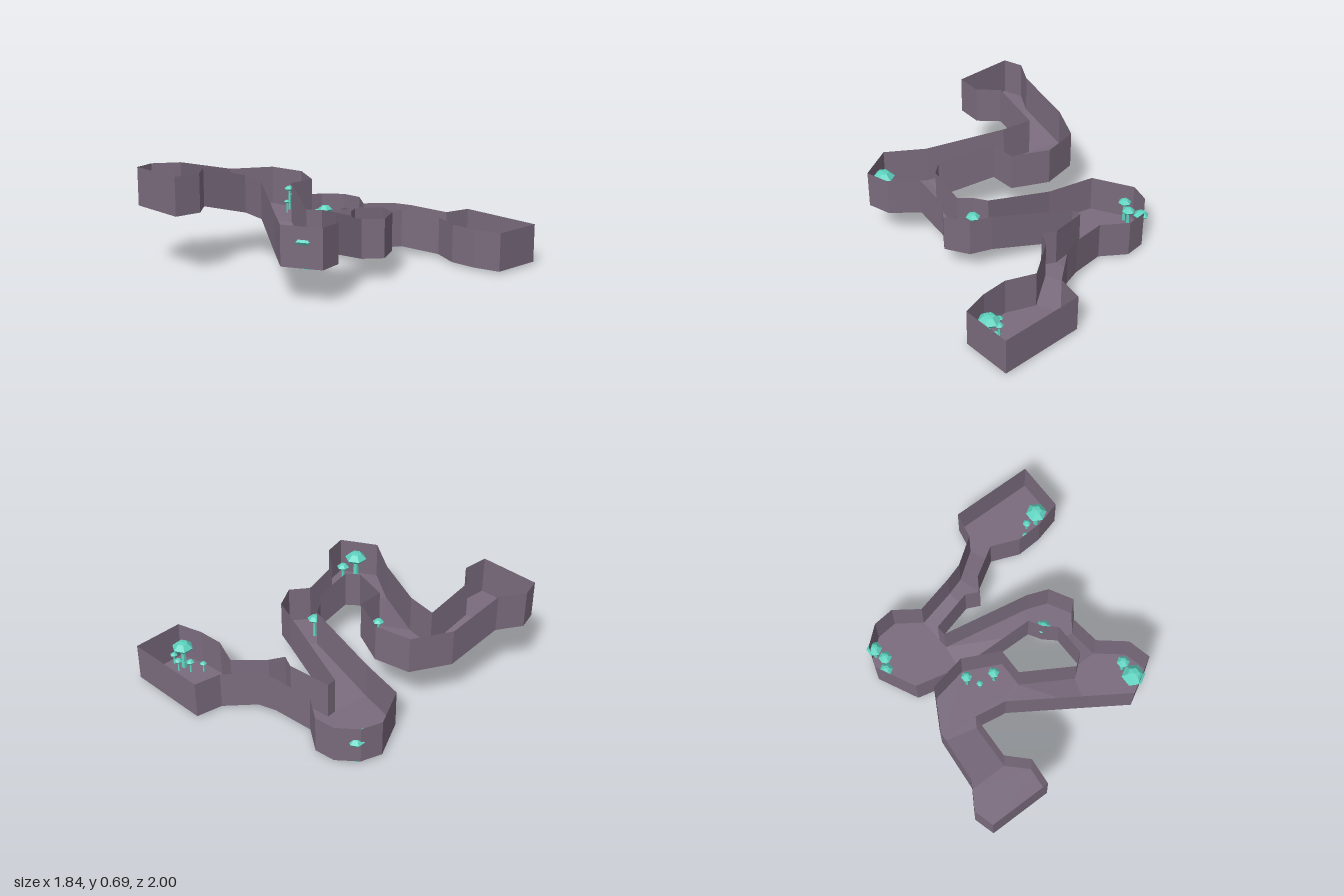
import * as THREE from 'three';

const WALL = 0.265;

// Chambers: floor height, outline [x, z] (clockwise from above), indices of edges left open as doors
const ROOMS = {
  entry: { y: 0.42, doors: [2], pts: [[-0.88, 1], [-0.92, 0.86], [-0.815, 0.69], [-0.56, 0.69], [-0.435, 0.815], [-0.45, 1]] },
  upper: { y: 0.325, doors: [4, 6], pts: [[-0.775, 0.295], [-0.63, 0.03], [-0.375, -0.02], [-0.13, 0.1], [-0.13, 0.285], [-0.32, 0.39], [-0.535, 0.355]] },
  front: { y: 0.235, doors: [0, 2], pts: [[0.155, 0.67], [0.22, 0.46], [0.3, 0.395], [0.435, 0.395], [0.605, 0.535], [0.645, 0.7], [0.405, 0.835]] },
  middle: { y: 0.16, doors: [0, 4], pts: [[0.18, -0.01], [0.285, -0.165], [0.43, -0.11], [0.52, 0.05], [0.43, 0.17], [0.315, 0.15], [0.235, 0.08]] },
  lower: { y: 0.015, doors: [5, 7], pts: [[-0.68, -0.14], [-0.82, -0.42], [-0.77, -0.565], [-0.64, -0.675], [-0.49, -0.69], [-0.32, -0.57], [-0.31, -0.395], [-0.305, -0.325], [-0.34, -0.06]] },
  bend: { y: 0.055, doors: [0, 2], pts: [[-0.025, -0.46], [-0.05, -0.625], [0.075, -0.665], [0.125, -0.515], [0.07, -0.415]] },
  end: { y: 0.015, doors: [0], pts: [[0.345, -0.66], [0.275, -0.815], [0.31, -1], [0.915, -1], [0.915, -0.64], [0.73, -0.59], [0.545, -0.58]] },
};

// Sloping passages: room, door edge, room, door edge
const PASSAGES = [
  ['entry', 2, 'upper', 6], ['upper', 4, 'front', 0], ['front', 2, 'middle', 4],
  ['middle', 0, 'lower', 7], ['lower', 5, 'bend', 0], ['bend', 2, 'end', 0],
];

// Mushrooms: room, then [x, z, cap radius, height above floor]
const MUSHROOMS = {
  upper: [[-0.4, 0.07, 0.037, 0.17], [-0.345, 0.14, 0.022, 0.09], [-0.24, 0.155, 0.038, 0.17]],
  front: [[0.52, 0.595, 0.045, 0.16], [0.505, 0.715, 0.08, 0.21]],
  middle: [[0.265, 0.05, 0.05, 0.17]],
  lower: [[-0.735, -0.57, 0.055, 0.18], [-0.71, -0.475, 0.047, 0.17], [-0.757, -0.395, 0.047, 0.18]],
  end: [[0.795, -0.71, 0.075, 0.21], [0.655, -0.65, 0.025, 0.08], [0.715, -0.715, 0.03, 0.1], [0.87, -0.735, 0.027, 0.09], [0.785, -0.765, 0.03, 0.1]],
};

const rock = new THREE.MeshStandardMaterial({ color: 0x7a6b7d, flatShading: true, side: THREE.DoubleSide });
const glow = new THREE.MeshStandardMaterial({ color: 0x5fd3c0, flatShading: true });

function mesh(triangles, name) {
  const geo = new THREE.BufferGeometry();
  geo.setAttribute('position', new THREE.Float32BufferAttribute(triangles.flat(), 3));
  geo.computeVertexNormals();
  const m = new THREE.Mesh(geo, rock);
  m.name = name;
  return m;
}

const quad = (a, b, c, d) => [a, b, c, a, c, d];
const lift = ([x, y, z]) => [x, y + WALL, z];
const wall = (a, b) => quad(a, b, lift(b), lift(a));

function corner(room, i) {
  const { y, pts } = ROOMS[room];
  const [x, z] = pts[i % pts.length];
  return [x, y, z];
}

function chamber(name) {
  const { doors, pts } = ROOMS[name];
  const group = new THREE.Group();
  group.name = name + 'Chamber';
  const shape = pts.map(([x, z]) => new THREE.Vector2(x, z));
  const floor = [];
  for (const [a, b, c] of THREE.ShapeUtils.triangulateShape(shape, [])) {
    const s = (shape[b].x - shape[a].x) * (shape[c].y - shape[a].y) - (shape[b].y - shape[a].y) * (shape[c].x - shape[a].x);
    for (const i of s > 0 ? [a, c, b] : [a, b, c]) floor.push(corner(name, i));
  }
  const walls = pts.flatMap((_, i) => (doors.includes(i) ? [] : wall(corner(name, i), corner(name, i + 1))));
  group.add(mesh(floor, 'floor'), mesh(walls, 'walls'));
  return group;
}

function passage([from, i, to, j]) {
  const a0 = corner(from, i), a1 = corner(from, i + 1);
  const b0 = corner(to, j), b1 = corner(to, j + 1);
  const group = new THREE.Group();
  group.name = from + 'Passage';
  group.add(mesh(quad(a0, b1, b0, a1), 'floor'), mesh([...wall(a1, b0), ...wall(b1, a0)], 'walls'));
  return group;
}

function mushroom(x, floorY, z, r, h) {
  const group = new THREE.Group();
  group.name = 'mushroom';
  // Faceted cap with a bevelled rim
  const profile = [[0, 0], [0.75, 0], [1, 0.3], [0.5, 0.76], [0, 0.85]].map(([u, v]) => new THREE.Vector2(u * r, v * r));
  const cap = new THREE.Mesh(new THREE.LatheGeometry(profile, 6), glow);
  cap.name = 'cap';
  cap.position.y = h - 0.85 * r;
  // Stem, sunk slightly through the floor
  const sink = 0.2 * r, length = h - 0.8 * r + sink;
  const stem = new THREE.Mesh(new THREE.CylinderGeometry(0.2 * r, 0.3 * r, length, 6), glow);
  stem.name = 'stem';
  stem.position.y = length / 2 - sink;
  group.add(cap, stem);
  group.position.set(x, floorY, z);
  return group;
}

export function createModel() {
  const model = new THREE.Group();
  model.name = 'caveTunnel';
  for (const name of Object.keys(ROOMS)) model.add(chamber(name));
  for (const p of PASSAGES) model.add(passage(p));
  for (const [room, list] of Object.entries(MUSHROOMS))
    for (const [x, z, r, h] of list) model.add(mushroom(x, ROOMS[room].y, z, r, h));
  return model;
}
